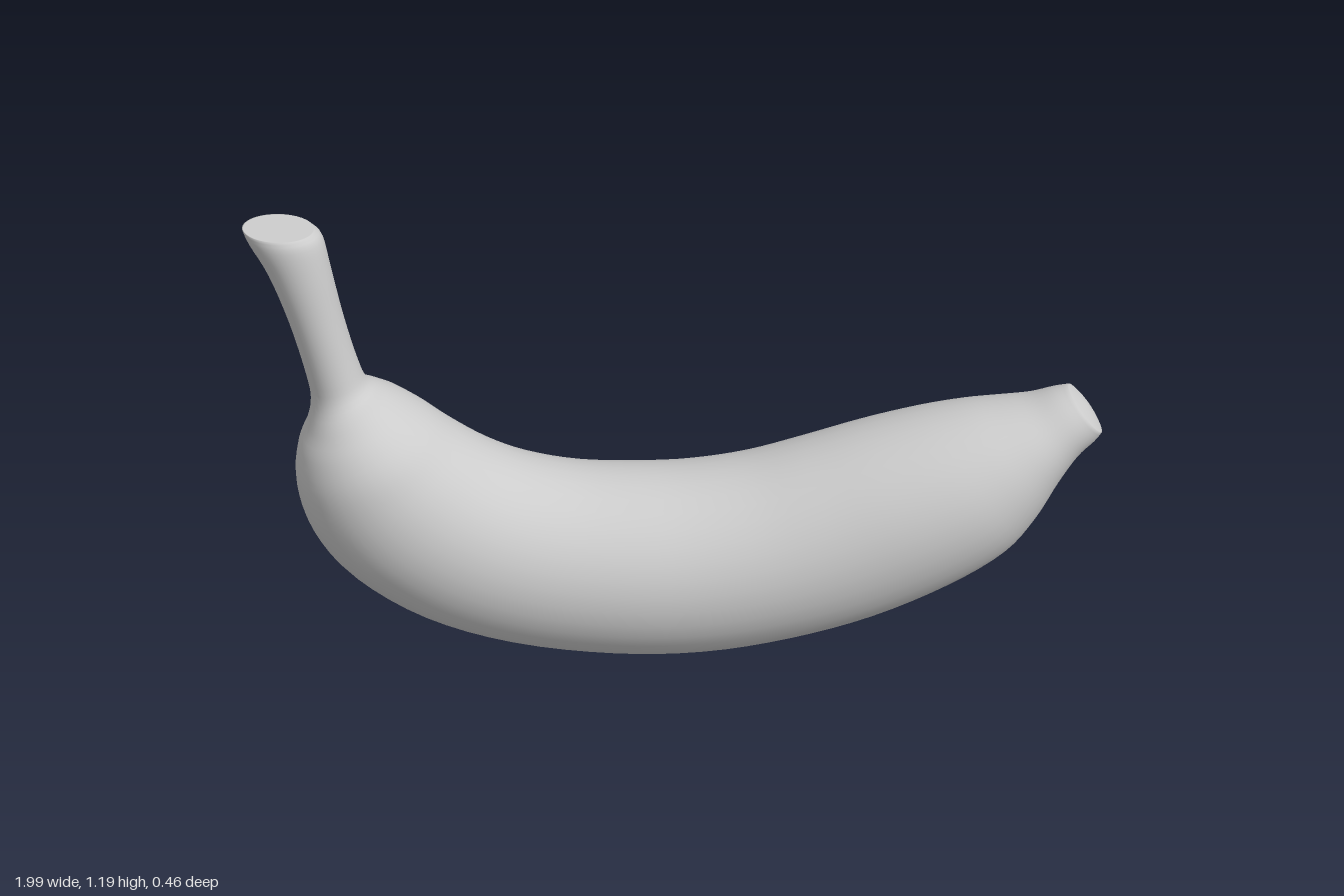
import * as THREE from 'three';

// Cross-sections from stem to tip: outer x, y, inner x, y, half width, z offset
const SECTIONS = [
  [-0.995, 1.192, -0.835, 1.18, 0.066, -0.03],
  [-0.985, 1.16, -0.817, 1.155, 0.073, -0.03],
  [-0.948, 1.08, -0.805, 1.08, 0.069, -0.025],
  [-0.91, 0.95, -0.785, 0.95, 0.066, -0.022],
  [-0.882, 0.81, -0.76, 0.83, 0.068, -0.02],
  [-0.876, 0.74, -0.74, 0.775, 0.078, -0.018],
  [-0.89, 0.68, -0.7, 0.753, 0.115, -0.01],
  [-0.915, 0.62, -0.655, 0.725, 0.155, -0.005],
  [-0.925, 0.53, -0.6, 0.685, 0.184, 0],
  [-0.9, 0.41, -0.535, 0.63, 0.2, 0],
  [-0.82, 0.28, -0.45, 0.57, 0.21, 0],
  [-0.66, 0.15, -0.36, 0.528, 0.216, 0],
  [-0.45, 0.06, -0.24, 0.497, 0.222, 0],
  [-0.2, 0.012, -0.1, 0.484, 0.23, 0],
  [0.03, 0.002, 0.02, 0.484, 0.231, 0],
  [0.25, 0.03, 0.15, 0.5, 0.23, 0],
  [0.46, 0.085, 0.28, 0.535, 0.226, 0],
  [0.65, 0.17, 0.42, 0.576, 0.218, 0],
  [0.78, 0.255, 0.55, 0.608, 0.2, 0],
  [0.85, 0.345, 0.66, 0.628, 0.17, 0],
  [0.9, 0.44, 0.75, 0.638, 0.135, 0],
  [0.945, 0.51, 0.82, 0.648, 0.105, 0],
  [0.983, 0.547, 0.875, 0.665, 0.088, 0],
  [0.998, 0.568, 0.912, 0.672, 0.078, 0],
];
const SIDES = 36;
const STEPS = 4; // rings per section

export function createModel() {
  const group = new THREE.Group();
  group.name = 'banana';

  // Smooth curves through the outer edge, the inner edge and the widths
  const curve = (f) => new THREE.CatmullRomCurve3(
    SECTIONS.map((s) => new THREE.Vector3(...f(s))), false, 'catmullrom');
  const outer = curve((s) => [s[0], s[1], s[5]]);
  const inner = curve((s) => [s[2], s[3], s[5]]);
  const width = curve((s) => [s[4], 0, 0]);

  // Rings as [position along the fruit, scale]; shrinking rings close the ends
  const count = (SECTIONS.length - 1) * STEPS;
  const rings = [[0, 0], [0, 0.5], [0, 0.88], [0, 0.97]];
  for (let i = 0; i <= count; i++) rings.push([i / count, 1]);
  rings.push([1, 0.95], [1, 0.85], [1, 0.45], [1, 0]);

  const positions = [];
  for (const [t, scale] of rings) {
    const o = outer.getPoint(t);
    const mid = o.clone().add(inner.getPoint(t)).multiplyScalar(0.5);
    const half = o.sub(mid);
    const w = width.getPoint(t).x;
    // Gentle rounding of the end faces
    const lift = t === 1 ? 0.008 * (1 - scale * scale) : 0;
    for (let j = 0; j < SIDES; j++) {
      const a = (j / SIDES) * Math.PI * 2;
      const c = Math.cos(a) * scale;
      positions.push(mid.x + half.x * c + lift, mid.y + half.y * c + lift,
        mid.z + Math.sin(a) * w * scale);
    }
  }

  // Triangles between two ring numbers
  const strip = (from, to) => {
    const index = [];
    for (let i = from; i < to; i++) {
      for (let j = 0; j < SIDES; j++) {
        const k = (j + 1) % SIDES;
        const a = i * SIDES + j, b = a + SIDES;
        const d = i * SIDES + k, c = d + SIDES;
        if (rings[i + 1][1] > 0) index.push(a, b, c);
        else index.push(a, b, d);
        if (rings[i][1] > 0 && rings[i + 1][1] > 0) index.push(a, c, d);
      }
    }
    return index;
  };

  // One skin with shared normals, so the parts join without a seam
  const skin = new THREE.BufferGeometry();
  skin.setAttribute('position', new THREE.Float32BufferAttribute(positions, 3));
  skin.setIndex(strip(0, rings.length - 1));
  skin.computeVertexNormals();

  const material = new THREE.MeshStandardMaterial({ color: 0xcccccc });
  const addPart = (name, from, to) => {
    const geometry = new THREE.BufferGeometry();
    geometry.setAttribute('position', skin.getAttribute('position'));
    geometry.setAttribute('normal', skin.getAttribute('normal'));
    geometry.setIndex(strip(from, to));
    const mesh = new THREE.Mesh(geometry, material);
    mesh.name = name;
    group.add(mesh);
  };
  const stemEnd = 4 + 5 * STEPS;
  const tipStart = 4 + 21 * STEPS;
  addPart('stem', 0, stemEnd);
  addPart('body', stemEnd, tipStart);
  addPart('tip', tipStart, rings.length - 1);
  return group;
}
